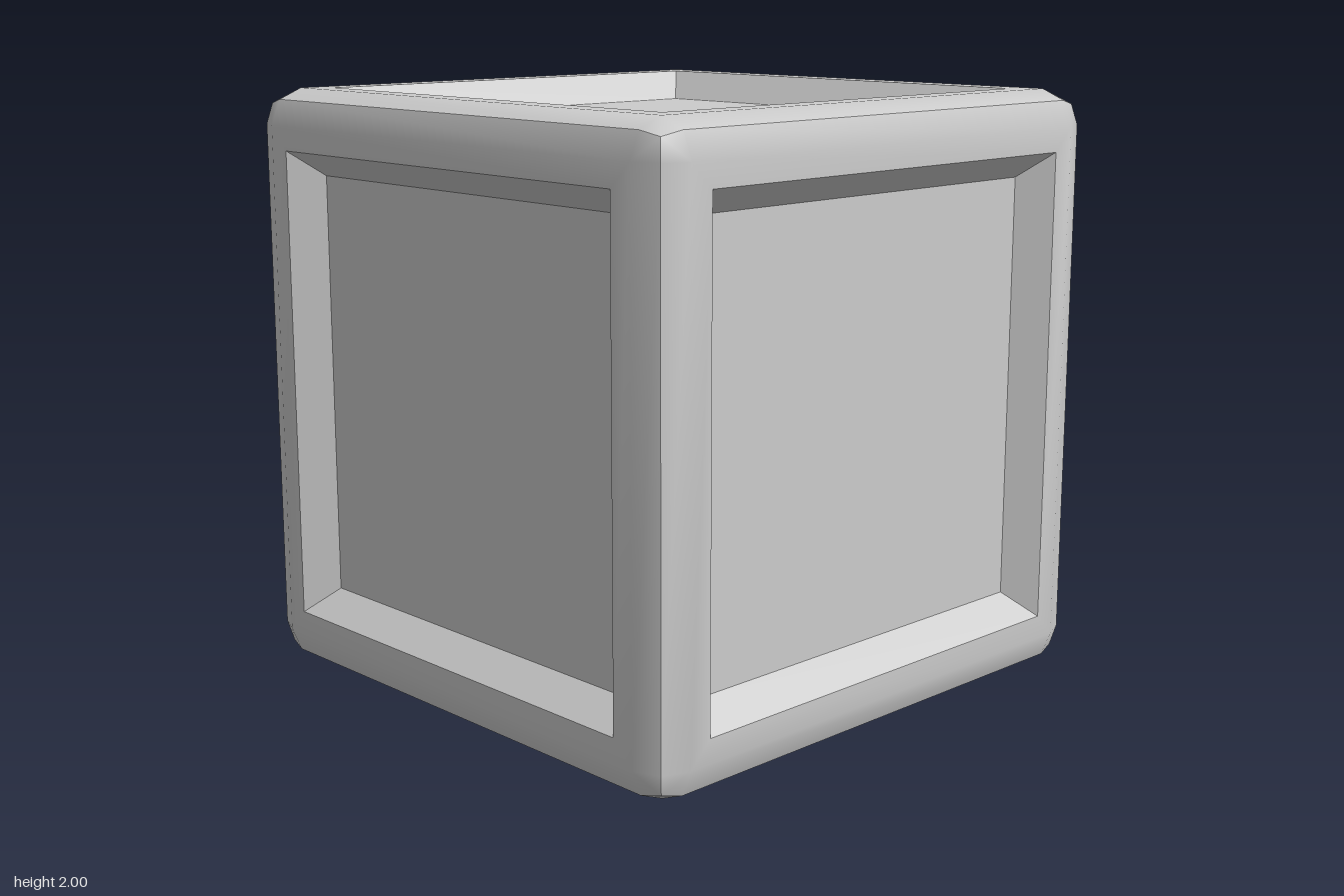
import * as THREE from 'three';
import { mergeVertices } from 'three/addons/utils/BufferGeometryUtils.js';

const OPEN = 0.8;                        // half width of the recess opening
const FLOOR = 0.717;                     // half width of the recess floor
const DEPTH = 0.1;                       // depth of the recess
const R = 0.12;                          // edge rounding
const FLAT = 1 - R;                      // where the rounding starts
const EDGE = FLAT + R * Math.SQRT1_2;    // middle of a rounded edge
const TIP = FLAT + R / Math.sqrt(3);     // rounded corner point

// Repeats quads around z four times; corners run counter-clockwise seen from +z
function fourfold(quads) {
  const positions = [];
  for (let k = 0; k < 4; k++) {
    const turn = new THREE.Matrix4().makeRotationZ(k * Math.PI / 2);
    for (const quad of quads) {
      for (const i of [0, 1, 2, 0, 2, 3]) {
        positions.push(...new THREE.Vector3(...quad[i]).applyMatrix4(turn).toArray());
      }
    }
  }
  const geometry = new THREE.BufferGeometry();
  geometry.setAttribute('position', new THREE.Float32BufferAttribute(positions, 3));
  return geometry;
}

// Rim: flat border, half of the rounded edge, and a third of each corner
function rimGeometry() {
  const geometry = mergeVertices(fourfold([
    [[OPEN, -OPEN, 1], [FLAT, -FLAT, 1], [FLAT, FLAT, 1], [OPEN, OPEN, 1]],
    [[FLAT, -FLAT, 1], [EDGE, -FLAT, EDGE], [EDGE, FLAT, EDGE], [FLAT, FLAT, 1]],
    [[FLAT, FLAT, 1], [EDGE, FLAT, EDGE], [TIP, TIP, TIP], [FLAT, EDGE, EDGE]],
  ]), 1e-4);
  geometry.computeVertexNormals();
  return geometry;
}

// Sloping walls of the recess
function wallGeometry() {
  const z = 1 - DEPTH;
  const geometry = fourfold([
    [[FLOOR, -FLOOR, z], [OPEN, -OPEN, 1], [OPEN, OPEN, 1], [FLOOR, FLOOR, z]],
  ]);
  geometry.computeVertexNormals();
  return geometry;
}

export function createModel() {
  const model = new THREE.Group();
  model.name = 'panelledCube';
  const material = new THREE.MeshStandardMaterial({ color: 0xcccccc });
  const parts = {
    rim: rimGeometry(),
    recessWall: wallGeometry(),
    recessFloor: new THREE.PlaneGeometry(2 * FLOOR, 2 * FLOOR).translate(0, 0, 1 - DEPTH),
  };

  // The same side is turned to all six directions
  const q = Math.PI / 2;
  const sides = {
    front: [0, 0], left: [0, q], back: [0, 2 * q], right: [0, -q], top: [-q, 0], bottom: [q, 0],
  };
  for (const [name, [rx, ry]] of Object.entries(sides)) {
    const side = new THREE.Group();
    side.name = name + 'Side';
    side.rotation.set(rx, ry, 0);
    side.position.y = 1;
    for (const [part, geometry] of Object.entries(parts)) {
      const mesh = new THREE.Mesh(geometry, material);
      mesh.name = part;
      side.add(mesh);
    }
    model.add(side);
  }
  return model;
}
